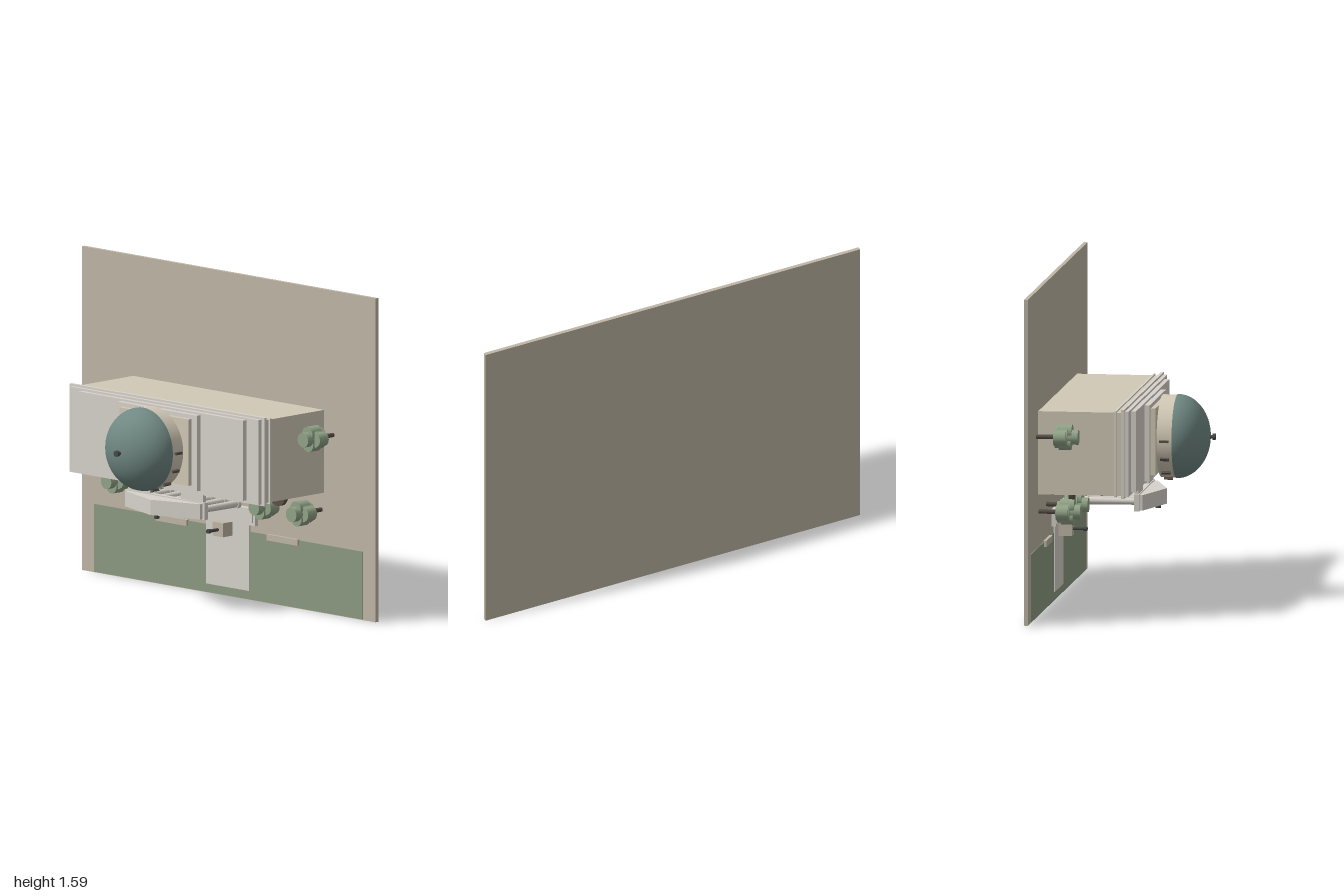
import * as THREE from 'three';

const mat = (c) => new THREE.MeshStandardMaterial({ color: c });
const M = {
  plate: mat(0xc0b6a5), wall: mat(0xd2c9b6), trim: mat(0xd7d3cb), lawn: mat(0x8d9a82),
  dome: mat(0x708883), tree: mat(0x92a488), dark: mat(0x5a5149), metal: mat(0x4a4a48),
};

// The building rises along +z from an upright base plate; its facade looks toward -y.
export function createModel() {
  const root = new THREE.Group();
  const add = (name, geo, m, parent = root) => {
    const mesh = new THREE.Mesh(geo, m);
    mesh.name = name;
    parent.add(mesh);
    return mesh;
  };
  // Box from its limits in y and z, with centre and half width in x
  const box = (name, m, cx, hw, y0, y1, z0, z1) => {
    const b = add(name, new THREE.BoxGeometry(hw * 2, y1 - y0, z1 - z0), m);
    b.position.set(cx, (y0 + y1) / 2, (z0 + z1) / 2);
    return b;
  };
  // Cylinder standing along z
  const rod = (name, m, x, y, z0, z1, r0, r1 = r0, seg = 16, parent = root) => {
    const c = add(name, new THREE.CylinderGeometry(r1, r0, z1 - z0, seg).rotateX(Math.PI / 2), m, parent);
    c.position.set(x, y, (z0 + z1) / 2);
    return c;
  };

  // Grounds
  box('basePlate', M.plate, 0, 1, 0, 1.585, -0.394, -0.375);
  box('lawn', M.lawn, 0, 0.915, 0.003, 0.335, -0.376, -0.371);
  box('path', M.trim, 0, 0.147, 0.045, 0.375, -0.376, -0.367);
  for (const s of [-1, 1]) box('bench', M.plate, s * 0.377, 0.105, 0.31, 0.34, -0.376, -0.36);

  // Main block, cornices and roof tiers
  box('mainBlock', M.wall, 0, 0.65, 0.59, 0.995, -0.376, 0.03);
  box('lowerCornice', M.trim, 0, 0.66, 0.583, 1.002, -0.005, 0.005);
  const tiers = [
    [0.663, 0.578, 1.01, 0.03, 0.045], [0.643, 0.585, 1.0, 0.045, 0.064],
    [0.56, 0.597, 0.99, 0.064, 0.087], [0.27, 0.61, 0.98, 0.087, 0.112],
  ];
  for (const [hw, ...r] of tiers) box('roofTier', M.trim, 0, hw, ...r);
  box('drumPlinth', M.wall, 0, 0.235, 0.635, 0.96, 0.112, 0.135);

  // Drum, dome and finial
  const cy = 0.795;
  rod('drum', M.wall, 0, cy, 0.135, 0.21, 0.2, 0.2, 56);
  for (let i = 0; i < 8; i++) {
    const a = Math.PI + (i / 7) * Math.PI;
    const w = box('drumWindow', M.dark, 0, 0.01, 0, 0.012, 0.15, 0.193);
    w.position.x = Math.cos(a) * 0.202;
    w.position.y = cy + Math.sin(a) * 0.202;
    w.rotation.z = a;
  }
  const domeGeo = new THREE.SphereGeometry(0.203, 56, 20, 0, Math.PI * 2, 0, Math.PI / 2);
  domeGeo.rotateX(Math.PI / 2).scale(1, 1, 0.16 / 0.203);
  add('dome', domeGeo, M.dome).position.set(0, cy, 0.208);
  rod('finialStem', M.metal, 0, cy, 0.36, 0.388, 0.009);
  rod('finialCap', M.metal, 0, cy, 0.38, 0.394, 0.015);

  // Facade openings: two rows of windows, arched heads and the door
  for (const x of [-0.56, -0.48, -0.4, -0.32, 0.32, 0.4, 0.48, 0.56]) {
    box('lowerWindow', M.dark, x, 0.022, 0.58, 0.592, -0.35, -0.23);
    box('upperWindow', M.dark, x, 0.022, 0.58, 0.592, -0.15, -0.05);
  }
  for (const x of [-0.48, -0.25, 0.25, 0.48]) rod('archHead', M.dark, x, 0.578, -0.245, -0.225, 0.056, 0.056, 24);
  box('door', M.dark, 0, 0.1, 0.556, 0.592, -0.372, -0.2);

  // Portico: columns, entablature and pediment
  for (let i = 0; i < 6; i++) {
    const x = -0.23 + i * 0.092;
    rod('column', M.trim, x, 0.505, -0.2, 0.035, 0.018, 0.016);
    rod('columnBase', M.trim, x, 0.505, -0.21, -0.19, 0.023);
  }
  box('entablature', M.trim, 0, 0.27, 0.462, 0.545, 0.035, 0.06);
  for (const s of [-1, 1]) box('porticoReturn', M.trim, s * 0.18, 0.075, 0.54, 0.595, 0.035, 0.055);
  const gable = new THREE.Shape([[-0.255, 0.06], [0.255, 0.06], [0.255, 0.075], [0, 0.157], [-0.255, 0.075]]
    .map(([x, z]) => new THREE.Vector2(x, z)));
  const gableGeo = new THREE.ExtrudeGeometry(gable, { depth: 0.075, bevelEnabled: false }).rotateX(Math.PI / 2);
  add('pediment', gableGeo, M.trim).position.y = 0.54;
  const medallion = add('pedimentBoss', new THREE.CylinderGeometry(0.013, 0.013, 0.025, 16), M.metal);
  medallion.position.set(0, 0.456, 0.115);

  // Entrance steps
  box('lowerStep', M.trim, 0, 0.2, 0.37, 0.455, -0.376, -0.355);
  box('upperStep', M.trim, 0, 0.187, 0.385, 0.455, -0.356, -0.345);

  // Statue on its pedestal
  box('pedestal', M.plate, 0, 0.035, 0.302, 0.37, -0.376, -0.3);
  rod('statueBody', M.metal, 0, 0.335, -0.3, -0.245, 0.008);
  rod('statueHead', M.metal, 0, 0.335, -0.245, -0.23, 0.011);

  // Trees: a trunk, a core and four lobes
  for (const s of [-1, 1]) {
    for (const [x, y] of [[0.71, 0.88], [0.63, 0.505], [0.375, 0.505]]) {
      const tree = new THREE.Group();
      tree.name = 'tree';
      tree.position.set(s * x, y, 0);
      root.add(tree);
      rod('trunk', M.dark, 0, 0, -0.376, -0.27, 0.011, 0.011, 10, tree);
      rod('crown', M.tree, 0, 0, -0.283, -0.22, 0.053, 0.053, 16, tree);
      rod('crownTop', M.tree, 0, 0, -0.23, -0.17, 0.036, 0.036, 16, tree);
      rod('lobe', M.tree, -0.036, 0, -0.285, -0.225, 0.036, 0.036, 16, tree);
      rod('lobe', M.tree, 0.036, 0, -0.275, -0.215, 0.036, 0.036, 16, tree);
      rod('lobe', M.tree, 0, 0.026, -0.27, -0.2, 0.036, 0.036, 16, tree);
      rod('lobe', M.tree, 0, -0.026, -0.265, -0.205, 0.036, 0.036, 16, tree);
    }
  }
  return root;
}
